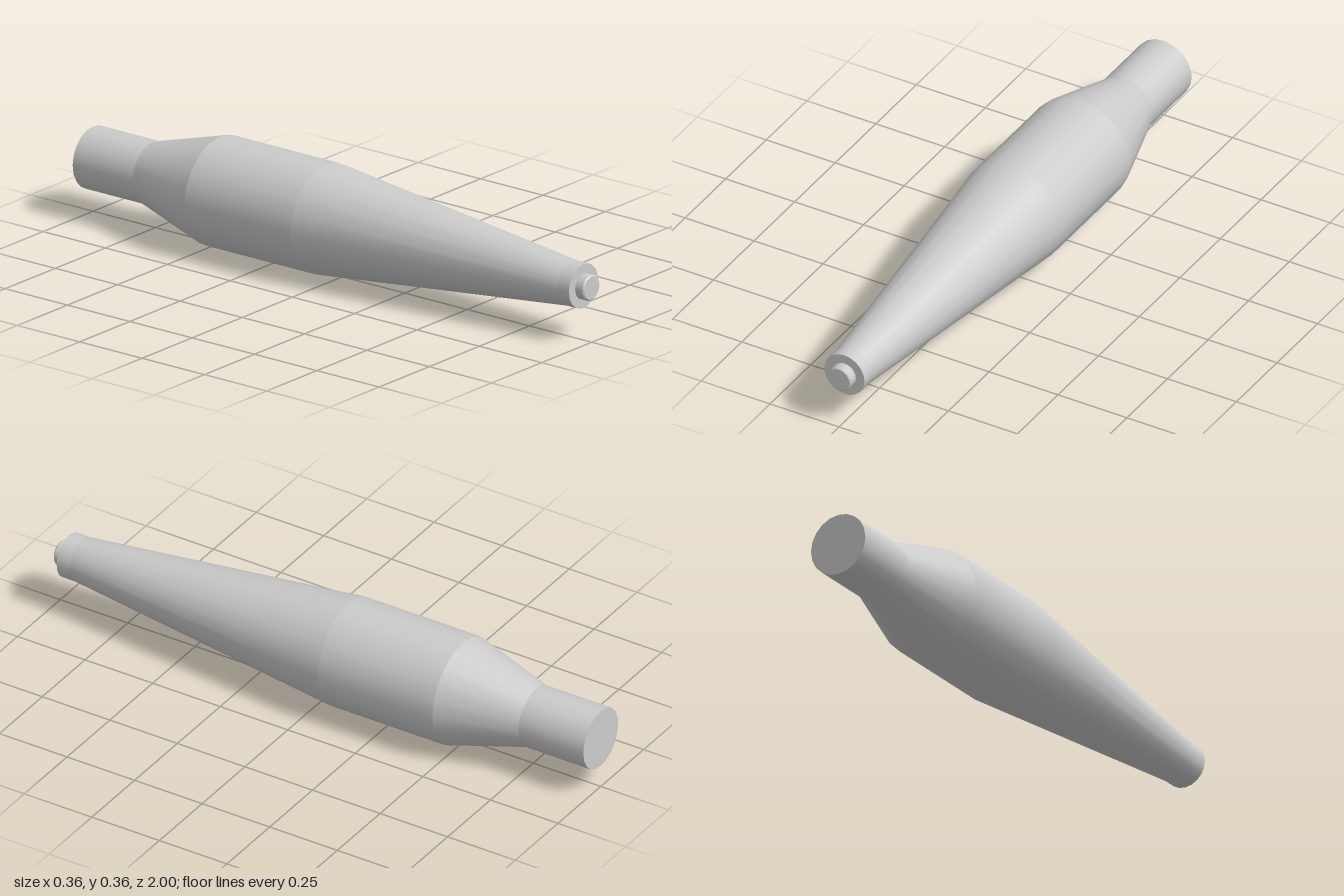
import * as THREE from 'three';

const SIDES = 20;
const AXIS_Y = 0.179;

export function createModel() {
  const model = new THREE.Group();
  const grey = new THREE.MeshStandardMaterial({ color: 0xcccccc });

  const add = (name, geometry, z) => {
    const mesh = new THREE.Mesh(geometry, grey);
    mesh.name = name;
    mesh.position.set(0, AXIS_Y, z);
    model.add(mesh);
  };

  // Open tapered tube along z, from its back end to its front end
  const section = (name, zBack, rBack, zFront, rFront) => {
    const geometry = new THREE.CylinderGeometry(rFront, rBack, zFront - zBack, SIDES, 1, true);
    geometry.rotateX(Math.PI / 2);
    add(name, geometry, (zBack + zFront) / 2);
  };

  // Flat end disc, facing forward (1) or backward (-1)
  const cap = (name, z, radius, facing) => {
    const geometry = new THREE.CircleGeometry(radius, SIDES);
    if (facing < 0) geometry.rotateY(Math.PI);
    add(name, geometry, z);
  };

  // Body, from the rear sleeve to the nose collar
  cap('rearCap', -1, 0.102, -1);
  section('rearSleeve', -1, 0.102, -0.76, 0.102);
  section('rearTaper', -0.76, 0.102, -0.49, 0.179);
  section('barrel', -0.49, 0.179, -0.065, 0.179);
  section('frontTaper', -0.065, 0.179, 0.92, 0.073);
  section('noseCollar', 0.92, 0.073, 0.967, 0.073);
  cap('noseFace', 0.967, 0.073, 1);

  // Tip pin with a small bevel
  section('tipPin', 0.967, 0.042, 0.996, 0.042);
  section('tipBevel', 0.996, 0.042, 1, 0.038);
  cap('tipFace', 1, 0.038, 1);

  return model;
}
